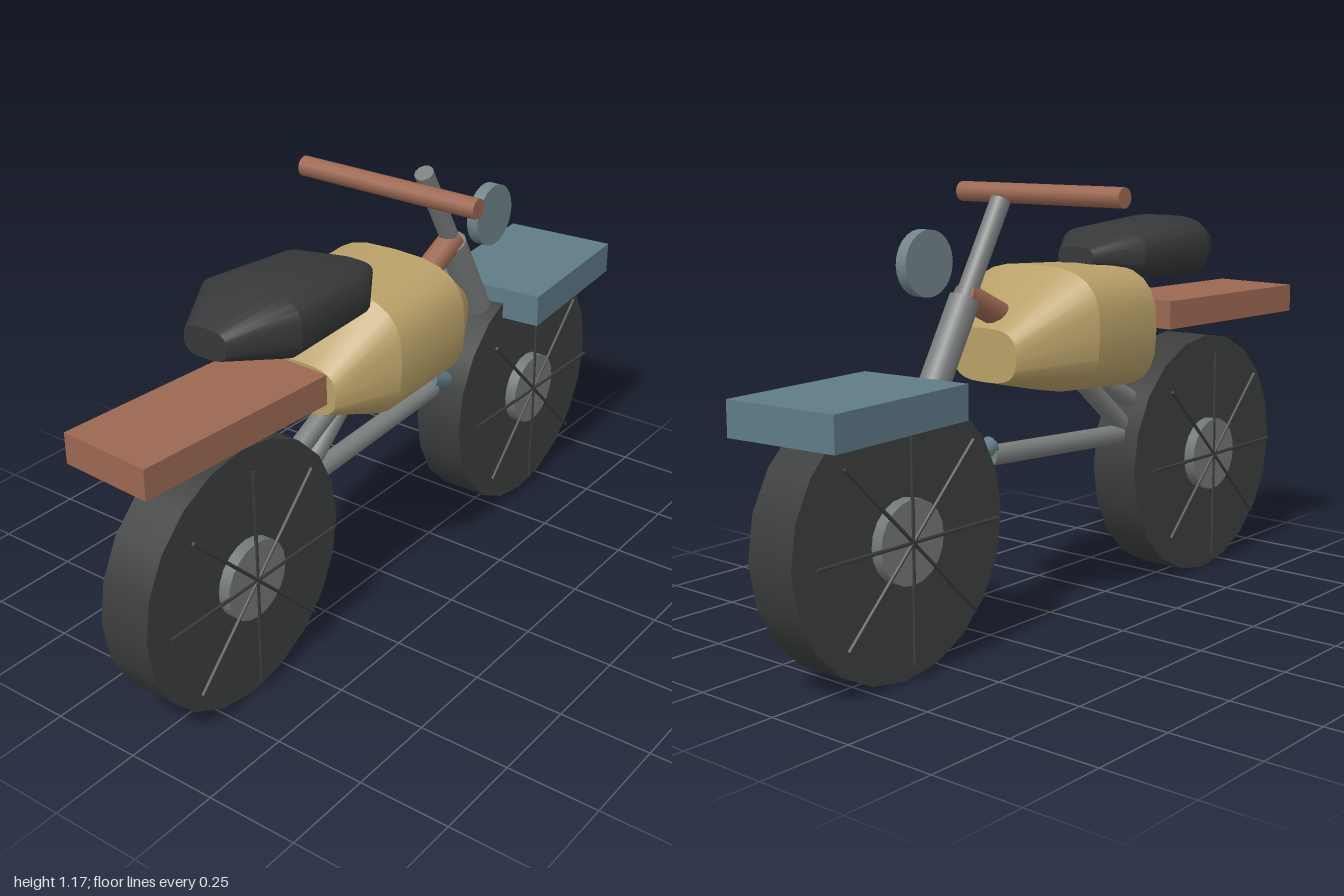
import * as THREE from 'three';
import { toCreasedNormals } from 'three/addons/utils/BufferGeometryUtils.js';

const mat = (color) => new THREE.MeshStandardMaterial({ color });
const RUBBER = mat(0x3c3e3e), SPOKE = mat(0x3a3c3c), HUB = mat(0x747777), STEEL = mat(0x7a7e7d);
const COPPER = mat(0x9c6852), BLUE = mat(0x5f7b88), SAND = mat(0xb9a068), LEATHER = mat(0x363839);
const LENS = mat(0x728489);

export function createModel() {
  const model = new THREE.Group();
  model.name = 'motorbike';

  const add = (parent, name, geometry, material, x = 0, y = 0, z = 0) => {
    const mesh = new THREE.Mesh(geometry, material);
    mesh.name = name;
    mesh.position.set(x, y, z);
    parent.add(mesh);
    return mesh;
  };

  // Disc or bar whose axis runs along z
  const disc = (r, width, sides) => new THREE.CylinderGeometry(r, r, width, sides).rotateX(Math.PI / 2);

  // Tube between two points in the centre plane
  const tube = (name, [x1, y1], [x2, y2], r, material) => {
    const length = Math.hypot(x2 - x1, y2 - y1);
    const mesh = add(model, name, new THREE.CylinderGeometry(r, r, length, 12), material,
      (x1 + x2) / 2, (y1 + y2) / 2, 0);
    mesh.rotation.z = Math.atan2(y2 - y1, x2 - x1) - Math.PI / 2;
  };

  // Rounded cross-sections along x: [x, bottom, top, half width]
  const loft = (sections, power, sides = 24) => {
    const pos = [], index = [];
    const round = (v) => Math.sign(v) * Math.abs(v) ** (2 / power);
    for (const [x, y0, y1, w] of sections) {
      for (let j = 0; j < sides; j++) {
        const t = (j / sides) * Math.PI * 2;
        pos.push(x, (y0 + y1) / 2 + ((y1 - y0) / 2) * round(Math.sin(t)), w * round(Math.cos(t)));
      }
    }
    const last = (sections.length - 1) * sides;
    for (let j = 0; j < sides; j++) {
      const k = (j + 1) % sides;
      for (let a = 0; a < last; a += sides) {
        const b = a + sides;
        index.push(a + j, b + j, b + k, a + j, b + k, a + k);
      }
      if (j > 0 && k > 0) index.push(0, j, k, last, last + k, last + j);
    }
    const geometry = new THREE.BufferGeometry();
    geometry.setAttribute('position', new THREE.Float32BufferAttribute(pos, 3));
    geometry.setIndex(index);
    return toCreasedNormals(geometry, 0.55);
  };

  // Wheels: solid tyre, hub and thin spokes on both faces
  for (const [name, x] of [['rearWheel', -0.64], ['frontWheel', 0.64]]) {
    const wheel = new THREE.Group();
    wheel.name = name;
    wheel.position.set(x, 0.355, 0);
    add(wheel, 'tyre', disc(0.354, 0.145, 20), RUBBER);
    add(wheel, 'hub', disc(0.106, 0.21, 20), HUB);
    for (const z of [-0.105, 0.105]) {
      for (let i = 0; i < 4; i++) {
        const spoke = add(wheel, 'spoke', new THREE.CylinderGeometry(0.005, 0.005, 0.61, 6), SPOKE, 0, 0, z);
        spoke.rotation.z = (i * Math.PI) / 4;
      }
    }
    model.add(wheel);
  }

  // Fenders, each turned slightly
  add(model, 'frontFender', new THREE.BoxGeometry(0.475, 0.09, 0.327), BLUE, 0.733, 0.676, 0).rotation.y = 0.083;
  add(model, 'rearFender', new THREE.BoxGeometry(0.59, 0.08, 0.26), COPPER, -0.698, 0.795, 0).rotation.y = -0.06;

  // Tank and seat
  add(model, 'tank', loft([
    [-0.33, 0.66, 0.795, 0.11],
    [-0.19, 0.617, 0.955, 0.212],
    [0.07, 0.635, 0.967, 0.223],
    [0.265, 0.68, 0.82, 0.107],
  ], 3), SAND);
  add(model, 'seat', loft([
    [-0.67, 0.938, 1.015, 0.065],
    [-0.51, 0.897, 1.068, 0.158],
    [-0.23, 0.908, 1.047, 0.145],
    [-0.108, 0.95, 1.0, 0.06],
  ], 3.2), LEATHER);

  // Steering
  tube('forkUpper', [0.198, 1.14], [0.36, 0.86], 0.027, STEEL);
  tube('forkLower', [0.337, 0.9], [0.64, 0.365], 0.041, STEEL);
  tube('neck', [0.15, 0.82], [0.342, 0.913], 0.035, COPPER);
  add(model, 'handlebar', disc(0.027, 0.55, 12), COPPER, 0.04, 1.148, 0);
  add(model, 'headlight', disc(0.085, 0.034, 24), LENS, 0.387, 0.988, 0.088);

  // Frame
  tube('lowerFrame', [-0.6, 0.438], [0.25, 0.485], 0.028, STEEL);
  tube('frontMount', [0.24, 0.513], [0.37, 0.463], 0.025, BLUE);
  tube('swingArm', [-0.62, 0.42], [-0.08, 0.687], 0.028, STEEL);
  tube('frameBrace', [-0.36, 0.447], [-0.08, 0.68], 0.028, STEEL);

  return model;
}
